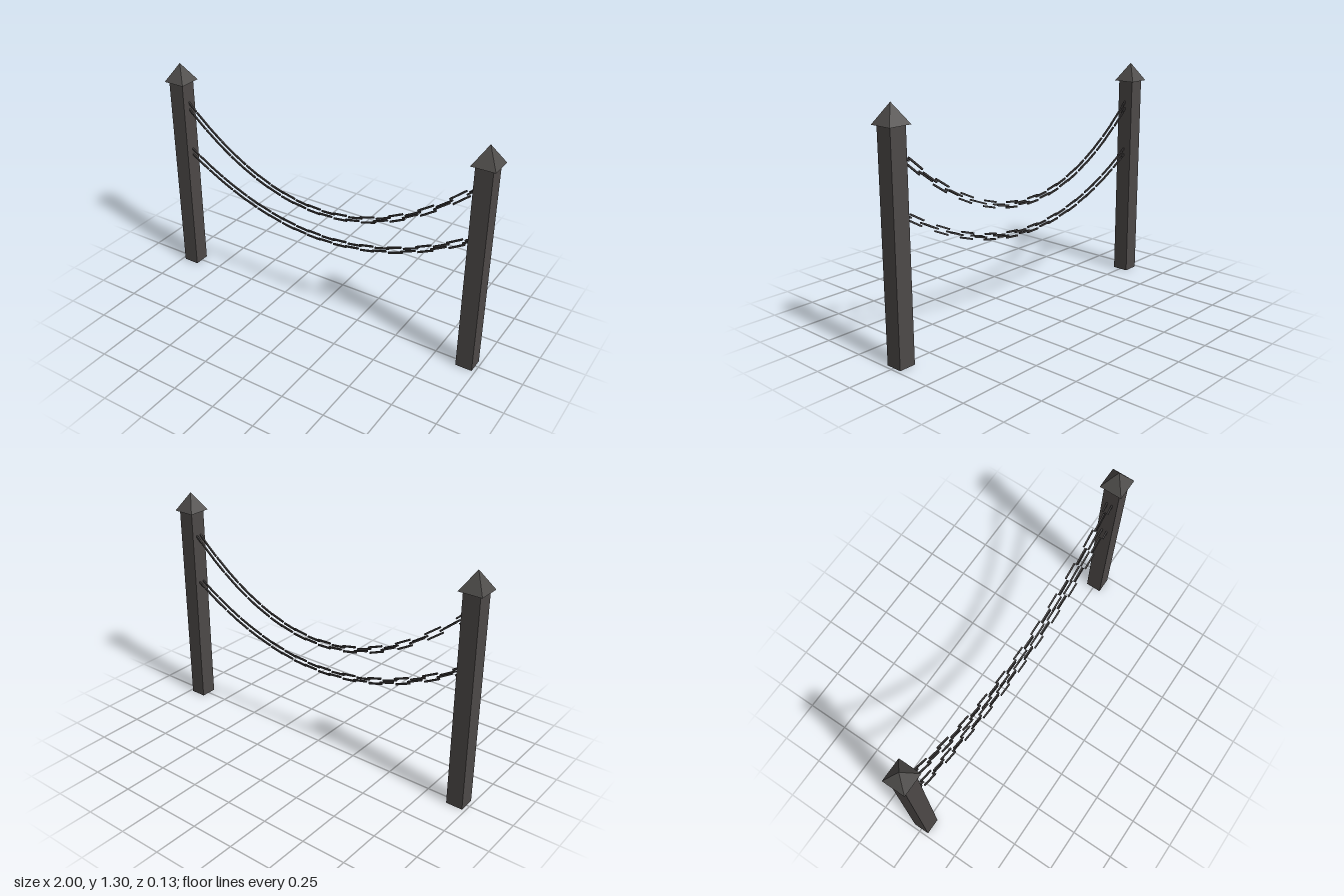
import * as THREE from 'three';

const POST_X = 0.935;
const LINKS = 22;

const iron = new THREE.MeshStandardMaterial({ color: 0x4d4948, flatShading: true });
const capIron = new THREE.MeshStandardMaterial({ color: 0x4f4d4b, flatShading: true });
const chainIron = new THREE.MeshStandardMaterial({ color: 0x3f3c3c, flatShading: true });

// Square post with an overhanging pyramid cap
function createPost(x, name) {
  const group = new THREE.Group();
  group.name = name;
  const shaft = new THREE.Mesh(new THREE.BoxGeometry(0.094, 1.2, 0.094), iron);
  shaft.name = 'shaft';
  shaft.position.y = 0.6;
  const cap = new THREE.Mesh(
    new THREE.ConeGeometry(0.065 * Math.SQRT2, 0.105, 4).rotateY(Math.PI / 4), capIron);
  cap.name = 'cap';
  cap.position.y = 1.2525;
  group.add(shaft, cap);
  group.position.x = x;
  return group;
}

// Chain hanging in a parabola; links alternate between upright and flat
function createChain(name, lowest, curvature) {
  const chain = new THREE.Group();
  chain.name = name;
  const pointAt = (i) => {
    const x = -POST_X + (2 * POST_X * i) / LINKS;
    return new THREE.Vector2(x, lowest + curvature * x * x);
  };
  for (let i = 0; i < LINKS; i++) {
    const a = pointAt(i), b = pointAt(i + 1);
    const link = new THREE.Group();
    link.name = 'link';
    link.position.set((a.x + b.x) / 2, (a.y + b.y) / 2, 0);
    link.rotation.z = Math.atan2(b.y - a.y, b.x - a.x);
    // Each link is a pair of parallel bars
    for (const side of [-1, 1]) {
      const bar = new THREE.Mesh(
        new THREE.BoxGeometry(a.distanceTo(b), 0.009, 0.009), chainIron);
      bar.name = 'linkBar';
      if (i % 2 === 0) bar.position.y = side * 0.015;
      else bar.position.z = side * 0.015;
      link.add(bar);
    }
    chain.add(link);
  }
  return chain;
}

export function createModel() {
  const model = new THREE.Group();
  model.name = 'chainFence';
  model.add(
    createPost(POST_X, 'leftPost'),
    createPost(-POST_X, 'rightPost'),
    createChain('upperChain', 0.638, 0.526),
    createChain('lowerChain', 0.474, 0.368),
  );
  return model;
}
